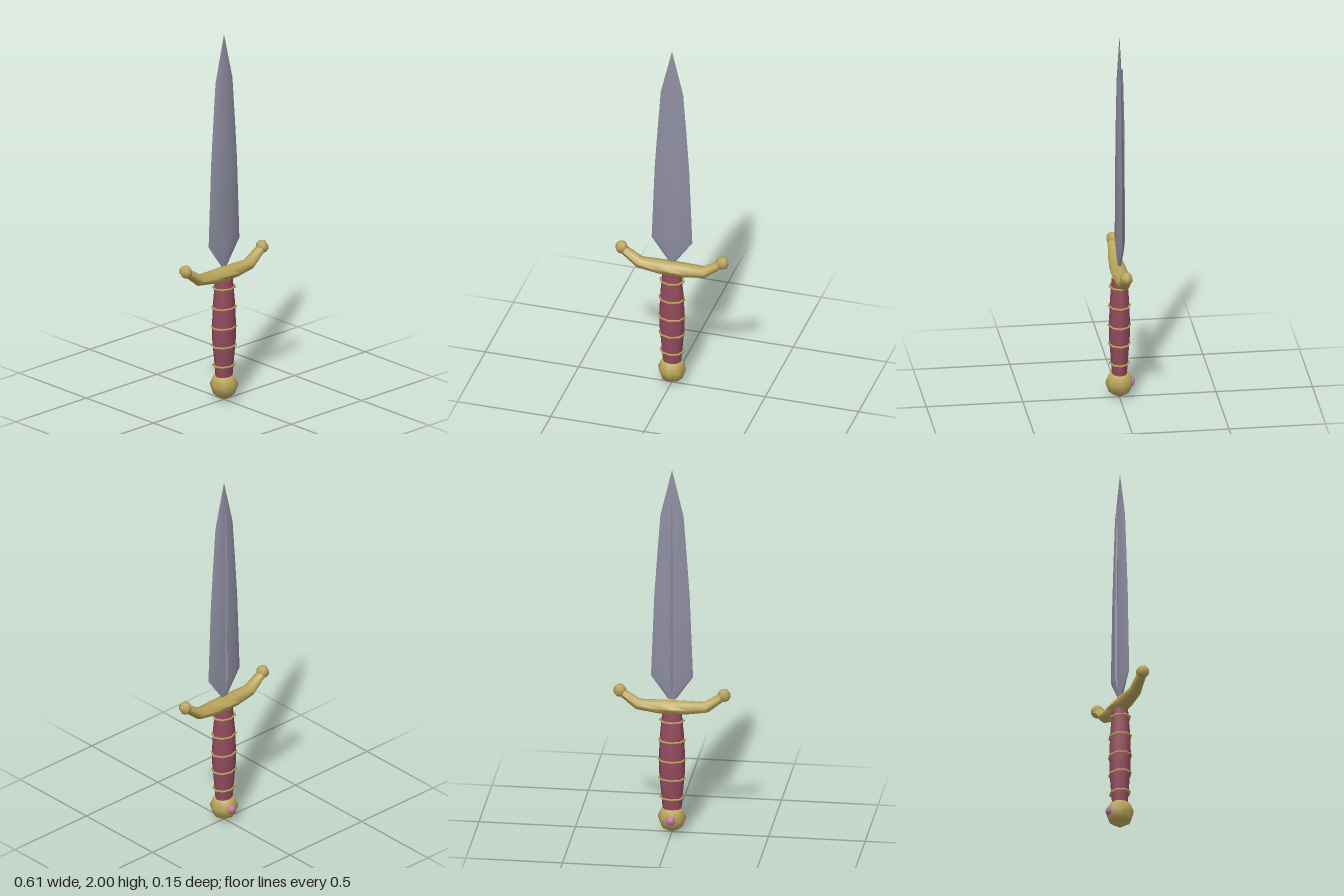
import * as THREE from 'three';
import { toCreasedNormals } from 'three/addons/utils/BufferGeometryUtils.js';

const mat = (name, color) => {
  const m = new THREE.MeshStandardMaterial({ color });
  m.name = name;
  return m;
};

// Closed, capped skin through a list of cross-sections (arrays of Vector3).
function loft(sections, crease) {
  const n = sections[0].length;
  const pos = [], idx = [];
  sections.forEach(s => s.forEach(p => pos.push(p.x, p.y, p.z)));
  for (let s = 0; s < sections.length - 1; s++) {
    for (let i = 0; i < n; i++) {
      const a = s * n + i, b = s * n + (i + 1) % n;
      idx.push(a, a + n, b, b, a + n, b + n);
    }
  }
  const last = (sections.length - 1) * n;
  for (let i = 1; i < n - 1; i++) {
    idx.push(0, i, i + 1, last, last + i + 1, last + i);
  }
  const g = new THREE.BufferGeometry();
  g.setAttribute('position', new THREE.Float32BufferAttribute(pos, 3));
  g.setIndex(idx);
  return toCreasedNormals(g, crease);
}

export function createModel() {
  const steel = mat('steel', 0x8f8ea2);
  const gold = mat('gold', 0xb9a55c);
  const leather = mat('red leather', 0x954b5d);
  const pink = mat('pink gem', 0xc070a4);

  const group = new THREE.Group();
  group.name = 'dagger';
  const add = (name, geometry, material, x = 0, y = 0, z = 0) => {
    const m = new THREE.Mesh(geometry, material);
    m.name = name;
    m.position.set(x, y, z);
    group.add(m);
    return m;
  };

  // Blade: eight-sided lens section, [y, half width, half thickness]
  const lens = [[1, 0], [0.68, 0.7], [0, 1], [-0.68, 0.7], [-1, 0], [-0.68, -0.7], [0, -1], [0.68, -0.7]];
  const blade = [
    [0.735, 0.02, 0.01], [0.86, 0.109, 0.021], [1.3, 0.092, 0.019],
    [1.52, 0.077, 0.017], [1.75, 0.06, 0.013], [2, 0.0008, 0.0005],
  ].map(([y, w, t]) => lens.map(([x, z]) => new THREE.Vector3(x * w, y, z * t)));
  add('blade', loft(blade, 0.45), steel);

  // Raised rib along the back of the blade
  const diamond = [[1, 0], [0, 1], [-1, 0], [0, -1]];
  const rib = [[0.78, 0.005, -0.014], [0.86, 0.008, -0.021], [1.5, 0.007, -0.019], [1.82, 0.003, -0.015]]
    .map(([y, r, cz]) => diamond.map(([x, z]) => new THREE.Vector3(x * r, y, cz + z * r)));
  add('bladeRib', loft(rib, 0.3), steel);

  // Crossguard: [x, centre y, half height, half depth, tilt], mirrored about x = 0
  const half = [[0.07, 0.69, 0.037, 0.043, 0.06], [0.175, 0.698, 0.03, 0.035, 0.42], [0.265, 0.763, 0.022, 0.026, 0.63]];
  const guard = [
    ...half.slice().reverse().map(([x, y, h, d, t]) => [-x, y, h, d, -t]),
    [0, 0.689, 0.038, 0.045, 0],
    ...half,
  ].map(([x, y, h, d, tilt]) => Array.from({ length: 8 }, (_, i) => {
    const a = i * Math.PI / 4, u = Math.cos(a) * h;
    return new THREE.Vector3(x - Math.sin(tilt) * u, y + Math.cos(tilt) * u, -Math.sin(a) * d);
  }));
  add('crossguard', loft(guard, 0.9), gold);
  for (const side of [-1, 1]) {
    add(side > 0 ? 'guardBallLeft' : 'guardBallRight', new THREE.SphereGeometry(0.035, 6, 5), gold, side * 0.27, 0.769, 0);
  }

  // Grip: swelling in the middle, slightly flattened front to back
  const gripProfile = [[0.048, 0.12], [0.055, 0.2], [0.067, 0.33], [0.068, 0.42], [0.062, 0.54], [0.05, 0.665]];
  const gripPoints = gripProfile.map(([r, y]) => new THREE.Vector2(r, y));
  const grip = add('grip', new THREE.LatheGeometry(gripPoints, 8), leather);
  grip.scale.z = 0.8;

  // Wire bands round the grip
  [0.193, 0.3, 0.402, 0.51, 0.618].forEach((y, i) => {
    const r = [0.061, 0.067, 0.069, 0.067, 0.062][i];
    const ring = new THREE.TorusGeometry(r, 0.006, 5, 8);
    ring.rotateX(Math.PI / 2);
    add('gripBand' + (i + 1), ring, gold, 0, y, 0).scale.z = 0.82;
  });

  // Pommel with a gem set into its back
  const pommel = [[0, 0], [0.055, 0.032], [0.074, 0.085], [0.054, 0.132], [0, 0.134]]
    .map(([r, y]) => new THREE.Vector2(r, y));
  add('pommel', new THREE.LatheGeometry(pommel, 8), gold);
  add('pommelGem', new THREE.SphereGeometry(0.024, 8, 6), pink, 0, 0.082, -0.062).scale.z = 0.75;

  return group;
}
